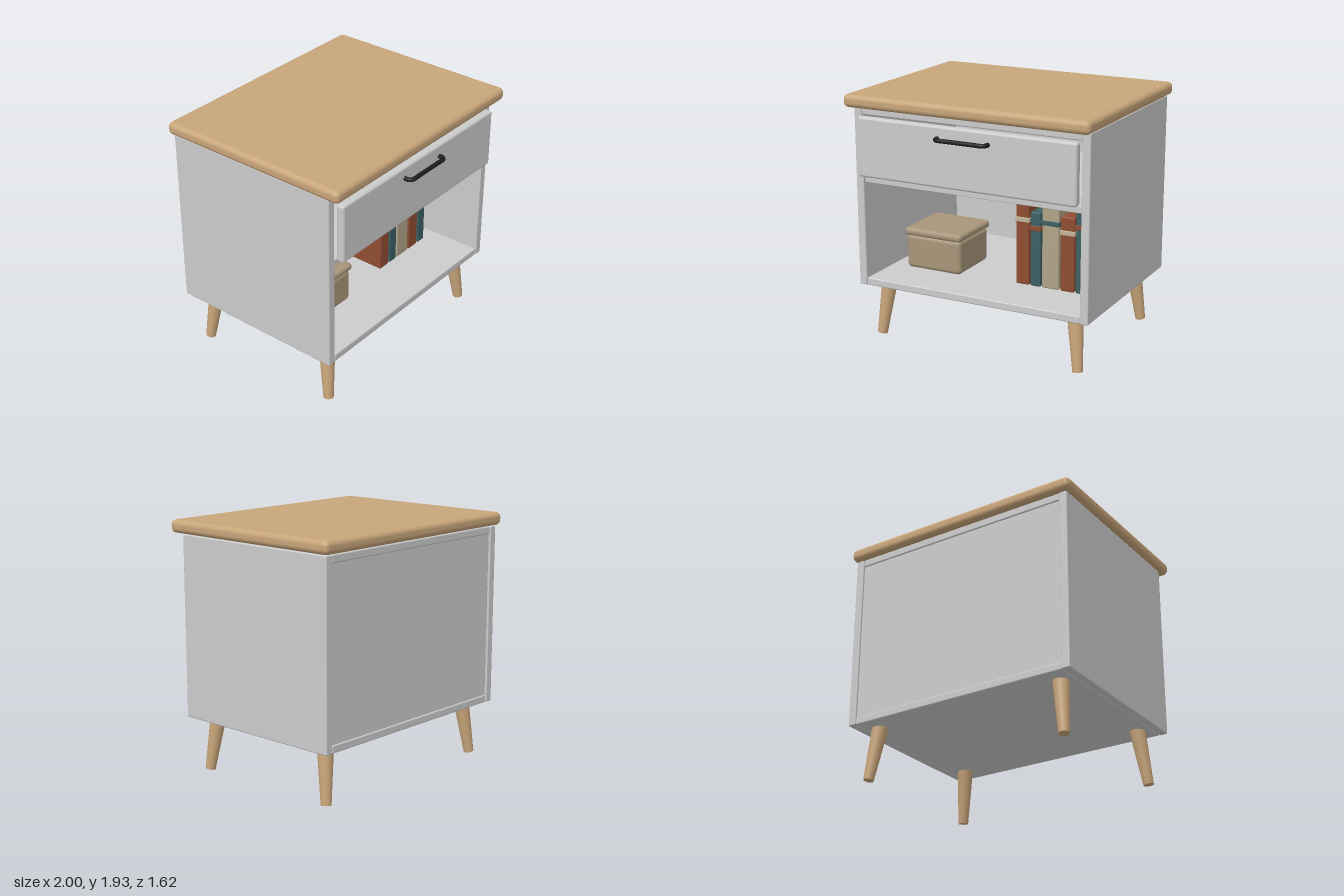
import * as THREE from 'three';
import { RoundedBoxGeometry } from 'three/addons/geometries/RoundedBoxGeometry.js';

const mat = (color) => new THREE.MeshStandardMaterial({ color });

export function createModel() {
  const model = new THREE.Group();
  const grey = mat(0xcccccc);
  const wood = mat(0xc8a57a);
  const black = mat(0x1c1d1f);
  const basket = mat(0xa8967a);
  const rust = mat(0x8f4d31);
  const teal = mat(0x3c6064);
  const cream = mat(0xb0a488);
  const pale = mat(0xc2b49c);

  // Rounded box given by its extents on each axis
  function box(name, [x0, x1], [y0, y1], [z0, z1], radius, material, parent = model) {
    const geometry = new RoundedBoxGeometry(x1 - x0, y1 - y0, z1 - z0, 3, radius);
    const mesh = new THREE.Mesh(geometry, material);
    mesh.position.set((x0 + x1) / 2, (y0 + y1) / 2, (z0 + z1) / 2);
    mesh.name = name;
    parent.add(mesh);
    return mesh;
  }

  // Cabinet
  box('tableTop', [-1, 1], [1.835, 1.935], [-0.81, 0.775], 0.04, wood);
  box('leftSide', [0.9, 0.965], [0.425, 1.83], [-0.775, 0.67], 0.01, grey);
  box('rightSide', [-0.965, -0.9], [0.425, 1.83], [-0.775, 0.67], 0.01, grey);
  box('bottomPanel', [-0.9, 0.9], [0.425, 0.485], [-0.77, 0.665], 0.01, grey);
  box('upperPanel', [-0.9, 0.9], [1.77, 1.83], [-0.77, 0.665], 0.01, grey);
  box('drawerShelf', [-0.9, 0.9], [1.245, 1.3], [-0.74, 0.65], 0.005, grey);
  box('backPanel', [-0.9, 0.9], [0.46, 1.79], [-0.76, -0.73], 0.005, grey);

  // Drawer front with bent bar handle
  box('drawerFront', [-0.895, 0.895], [1.31, 1.77], [0.675, 0.742], 0.02, grey);
  const handlePath = new THREE.CatmullRomCurve3(
    [[-0.205, 0.73], [-0.205, 0.77], [-0.185, 0.793], [-0.1, 0.795],
      [0.1, 0.795], [0.185, 0.793], [0.205, 0.77], [0.205, 0.73]]
      .map(([x, z]) => new THREE.Vector3(x, 1.68, z)));
  const handle = new THREE.Mesh(new THREE.TubeGeometry(handlePath, 48, 0.017, 12), black);
  handle.name = 'drawerHandle';
  model.add(handle);

  // Splayed tapered legs
  const up = new THREE.Vector3(0, 1, 0);
  for (const side of [-1, 1]) {
    for (const end of [-1, 1]) {
      const top = new THREE.Vector3(side * 0.793, 0.44, end * 0.555 - 0.05);
      const foot = new THREE.Vector3(side * 0.842, 0.007, end * 0.607 - 0.05);
      const axis = top.clone().sub(foot);
      const leg = new THREE.Mesh(new THREE.CylinderGeometry(0.062, 0.039, axis.length(), 24), wood);
      leg.position.copy(top).add(foot).multiplyScalar(0.5);
      leg.quaternion.setFromUnitVectors(up, axis.normalize());
      leg.name = (end > 0 ? 'front' : 'back') + (side > 0 ? 'Left' : 'Right') + 'Leg';
      model.add(leg);
    }
  }

  // Storage box with lid
  const storage = new THREE.Group();
  storage.name = 'storageBox';
  model.add(storage);
  box('storageBoxBody', [-0.76, -0.28], [0.485, 0.76], [-0.15, 0.31], 0.035, basket, storage);
  box('storageBoxLid', [-0.77, -0.267], [0.752, 0.815], [-0.165, 0.325], 0.028, basket, storage);

  // Row of banded books
  const books = new THREE.Group();
  books.name = 'books';
  model.add(books);
  [
    [0.175, 0.285, 1.14, 1.0, rust, pale],
    [0.297, 0.382, 1.07, 0.945, teal, rust],
    [0.393, 0.534, 1.14, 1.0, cream, teal],
    [0.547, 0.66, 1.07, 0.945, rust, pale],
    [0.671, 0.756, 1.14, 1.0, teal, rust],
  ].forEach(([x0, x1, top, bandY, cover, bandColor], i) => {
    box(`book${i + 1}`, [x0, x1], [0.485, top], [-0.2, 0.25], 0.012, cover, books);
    box(`bookBand${i + 1}`, [x0 - 0.005, x1 + 0.005], [bandY - 0.019, bandY + 0.019],
      [-0.205, 0.256], 0.005, bandColor, books);
  });

  return model;
}
